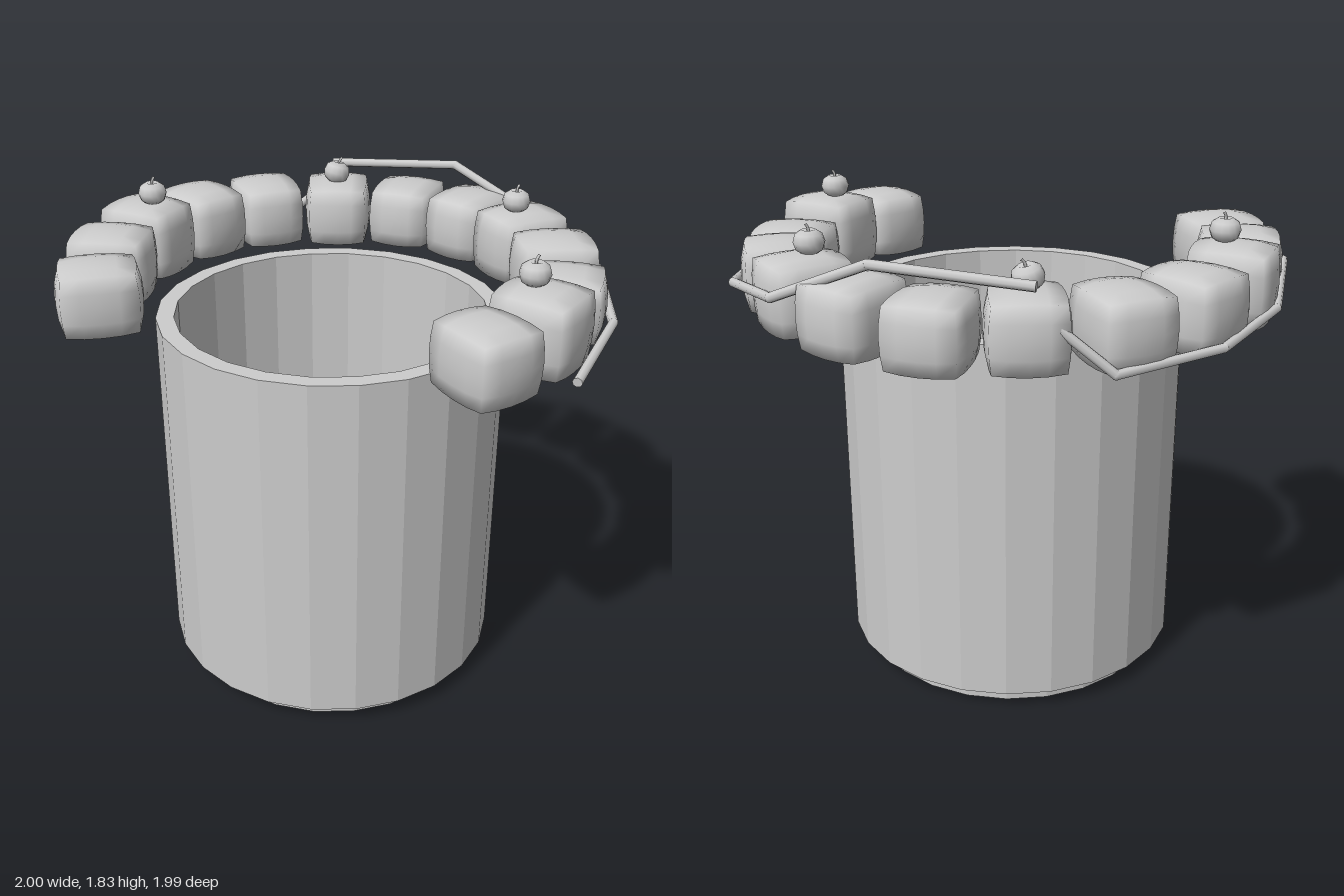
import * as THREE from 'three';
import { mergeVertices } from 'three/addons/utils/BufferGeometryUtils.js';

const grey = new THREE.MeshStandardMaterial({ color: 0xcccccc });

function add(parent, name, geometry, position = [0, 0, 0]) {
  const mesh = new THREE.Mesh(geometry, grey);
  mesh.name = name;
  mesh.position.set(...position);
  parent.add(mesh);
  return mesh;
}

// Unit block with bulging sides: a cube blended part way to a sphere
function blockGeometry() {
  let g = new THREE.BoxGeometry(2, 2, 2, 4, 4, 4);
  g.deleteAttribute('uv');
  g.deleteAttribute('normal');
  g = mergeVertices(g);
  const p = g.attributes.position;
  const blend = 0.42;
  const round = (a, b, c) =>
    a * (1 - blend + blend * Math.sqrt(1 - b * b / 2 - c * c / 2 + b * b * c * c / 3));
  for (let i = 0; i < p.count; i++) {
    const x = p.getX(i), y = p.getY(i), z = p.getZ(i);
    const taper = 0.97 + 0.04 * z; // slightly narrower toward the middle of the ring
    p.setXYZ(i, round(x, y, z) * taper, round(y, x, z), round(z, x, y));
  }
  g.computeVertexNormals();
  return g;
}

// Straight-sided vine through a few points
function vine(name, points, radius) {
  const group = new THREE.Group();
  group.name = name;
  const pts = points.map((p) => new THREE.Vector3(...p));
  const up = new THREE.Vector3(0, 1, 0);
  for (let i = 0; i < pts.length - 1; i++) {
    const dir = pts[i + 1].clone().sub(pts[i]);
    const stick = add(group, 'vineSpan', new THREE.CylinderGeometry(radius, radius, dir.length(), 8));
    stick.position.copy(pts[i]).addScaledVector(dir, 0.5);
    stick.quaternion.setFromUnitVectors(up, dir.normalize());
    if (i > 0) add(group, 'vineJoint', new THREE.SphereGeometry(radius, 8, 6), points[i]);
  }
  return group;
}

// Small squat fruit with a bent stem
function berry(x, y, z, tilt) {
  const group = new THREE.Group();
  group.name = 'berry';
  const profile = [[0, -0.038], [0.022, -0.043], [0.046, -0.027], [0.055, 0],
    [0.047, 0.027], [0.024, 0.042], [0, 0.033]].map((p) => new THREE.Vector2(...p));
  add(group, 'berryBody', new THREE.LatheGeometry(profile, 14));
  const path = new THREE.CatmullRomCurve3([
    new THREE.Vector3(0, 0.03, 0),
    new THREE.Vector3(0.001, 0.048, 0),
    new THREE.Vector3(0.01, 0.063, 0),
  ]);
  add(group, 'berryStem', new THREE.TubeGeometry(path, 5, 0.005, 6));
  group.position.set(x, y, z);
  group.rotation.z = tilt;
  return group;
}

export function createModel() {
  const model = new THREE.Group();
  model.name = 'pot';

  // Open faceted pot with a stepped foot
  const wall = [[0, 0], [0.585, 0], [0.585, 0.07], [0.652, 0.07], [0.652, 1.45],
    [0.585, 1.45], [0.585, 0.07], [0, 0.07]].map((p) => new THREE.Vector2(...p));
  const pot = new THREE.LatheGeometry(wall, 24).toNonIndexed();
  pot.computeVertexNormals();
  add(model, 'potBody', pot, [-0.017, 0, 0.01]);

  // Partial ring of blocks around the rim: x, z, top height
  const blocks = [
    [-0.84, -0.17, 1.695], [-0.72, -0.45, 1.71], [-0.52, -0.67, 1.73],
    [-0.25, -0.81, 1.71], [0.045, -0.84, 1.70], [0.33, -0.735, 1.70],
    [0.59, -0.60, 1.69], [0.755, -0.35, 1.70], [0.82, -0.055, 1.71],
    [0.79, 0.24, 1.70], [0.66, 0.51, 1.68], [0.435, 0.72, 1.73], [0.165, 0.83, 1.70],
  ];
  const ring = new THREE.Group();
  ring.name = 'blockRing';
  model.add(ring);
  const geo = blockGeometry();
  for (const [x, z, top] of blocks) {
    const bottom = 1.435;
    const block = add(ring, 'block', geo, [x, (top + bottom) / 2, z]);
    block.scale.set(0.143, (top - bottom) / 2, 0.158);
    block.rotation.y = Math.atan2(x, z);
  }

  // Berries on every third block
  model.add(
    berry(-0.5, 1.765, -0.64, 0),
    berry(0.32, 1.73, -0.725, -0.25),
    berry(0.79, 1.745, -0.05, 0),
    berry(0.42, 1.765, 0.69, 0),
  );

  // Vines wrapped round the outside of the ring
  model.add(vine('sideVine', [
    [0.48, 1.45, 0.9], [0.8, 1.5, 0.63], [0.978, 1.55, 0.26], [0.978, 1.61, -0.18],
    [0.76, 1.77, -0.5], [0.36, 1.735, -0.85],
  ], 0.018));
  model.add(vine('backVine', [
    [-0.91, 1.57, -0.48], [-0.62, 1.51, -0.8], [-0.26, 1.48, -0.98],
    [0.15, 1.46, -0.98], [0.35, 1.65, -0.86],
  ], 0.017));

  return model;
}
